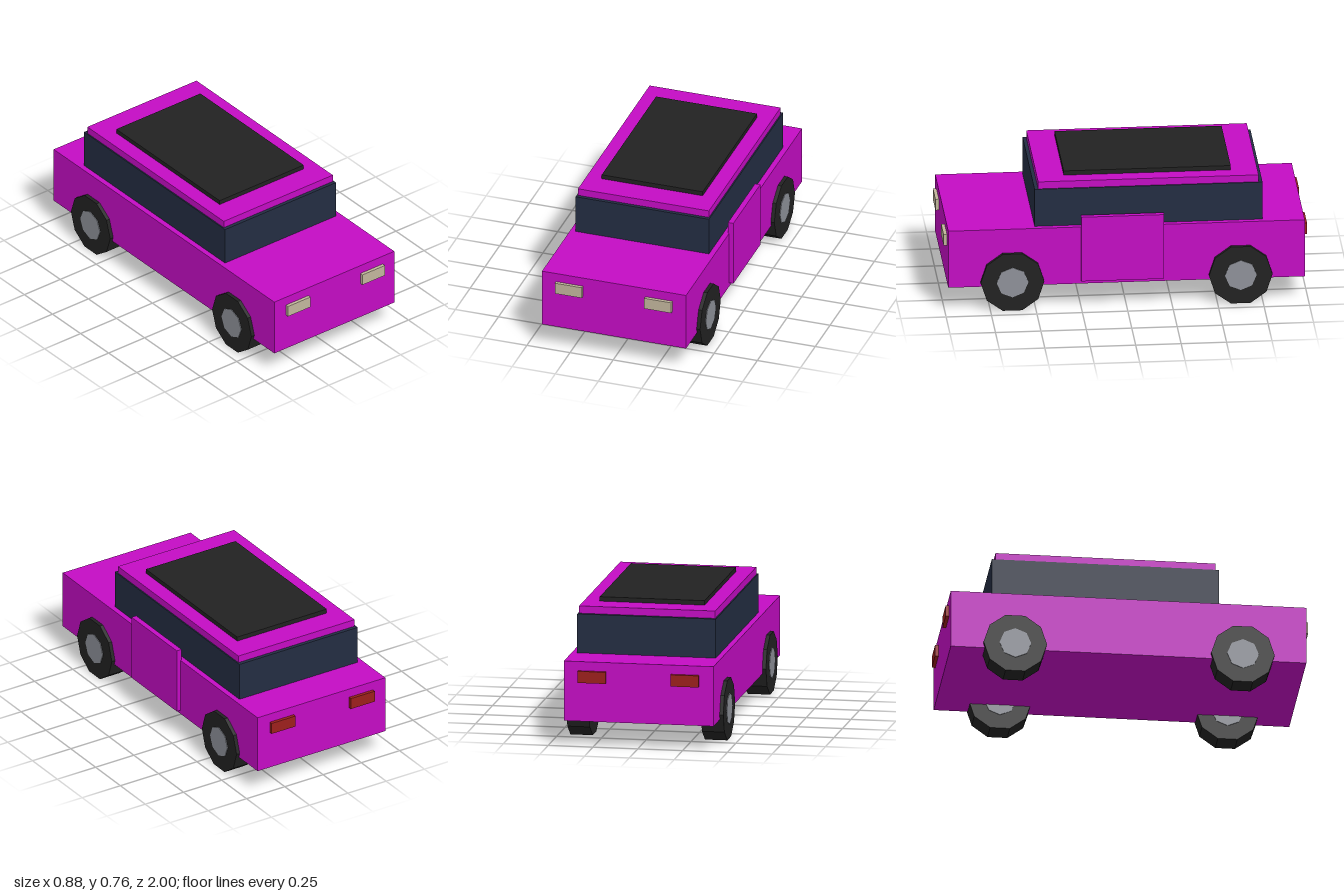
import * as THREE from 'three';

const material = (name, color) => {
  const m = new THREE.MeshStandardMaterial({ color });
  m.name = name;
  return m;
};

export function createModel() {
  const car = new THREE.Group();
  car.name = 'car';

  const paint = material('magenta paint', 0xc40cc4);
  const glass = material('dark blue glass', 0x232d42);
  const black = material('black', 0x222222);
  const metal = material('grey metal', 0x8e9199);
  const lamp = material('cream lamp', 0xc2b69c);
  const red = material('red lamp', 0x9c1f1c);

  // Box given by its extents on each axis
  const box = (name, mat, [x0, x1], [y0, y1], [z0, z1]) => {
    const mesh = new THREE.Mesh(new THREE.BoxGeometry(x1 - x0, y1 - y0, z1 - z0), mat);
    mesh.position.set((x0 + x1) / 2, (y0 + y1) / 2, (z0 + z1) / 2);
    mesh.name = name;
    car.add(mesh);
  };

  // Body, cabin and roof
  box('body', paint, [-0.419, 0.416], [0.139, 0.473], [-0.981, 0.981]);
  box('cabinGlass', glass, [-0.388, 0.385], [0.473, 0.691], [-0.751, 0.503]);
  box('roof', paint, [-0.381, 0.378], [0.691, 0.732], [-0.73, 0.483]);
  box('roofPanel', black, [-0.294, 0.291], [0.732, 0.757], [-0.584, 0.335]);

  // Single door on the left side
  box('door', paint, [0.409, 0.44], [0.161, 0.54], [-0.205, 0.251]);

  // Headlights and tail lights
  for (const x of [-0.26, 0.258]) {
    const span = [x - 0.078, x + 0.078];
    box('headlight', lamp, span, [0.357, 0.422], [0.96, 1]);
    box('tailLight', red, span, [0.357, 0.422], [-1, -0.96]);
  }

  // Wheels: ten-sided tyre with an eight-sided hub standing slightly proud
  const tyreGeometry = new THREE.CylinderGeometry(0.175, 0.175, 0.125, 10).toNonIndexed();
  const hubGeometry = new THREE.CylinderGeometry(0.0875, 0.0875, 0.132, 8).toNonIndexed();
  for (const g of [tyreGeometry, hubGeometry]) {
    g.rotateZ(Math.PI / 2);
    g.computeVertexNormals();
  }
  for (const x of [-0.377, 0.374]) {
    for (const z of [-0.627, 0.629]) {
      const wheel = new THREE.Group();
      wheel.name = 'wheel';
      const tyre = new THREE.Mesh(tyreGeometry, black);
      tyre.name = 'tyre';
      const hub = new THREE.Mesh(hubGeometry, metal);
      hub.name = 'hub';
      wheel.add(tyre, hub);
      wheel.position.set(x, 0.167, z);
      car.add(wheel);
    }
  }

  return car;
}
